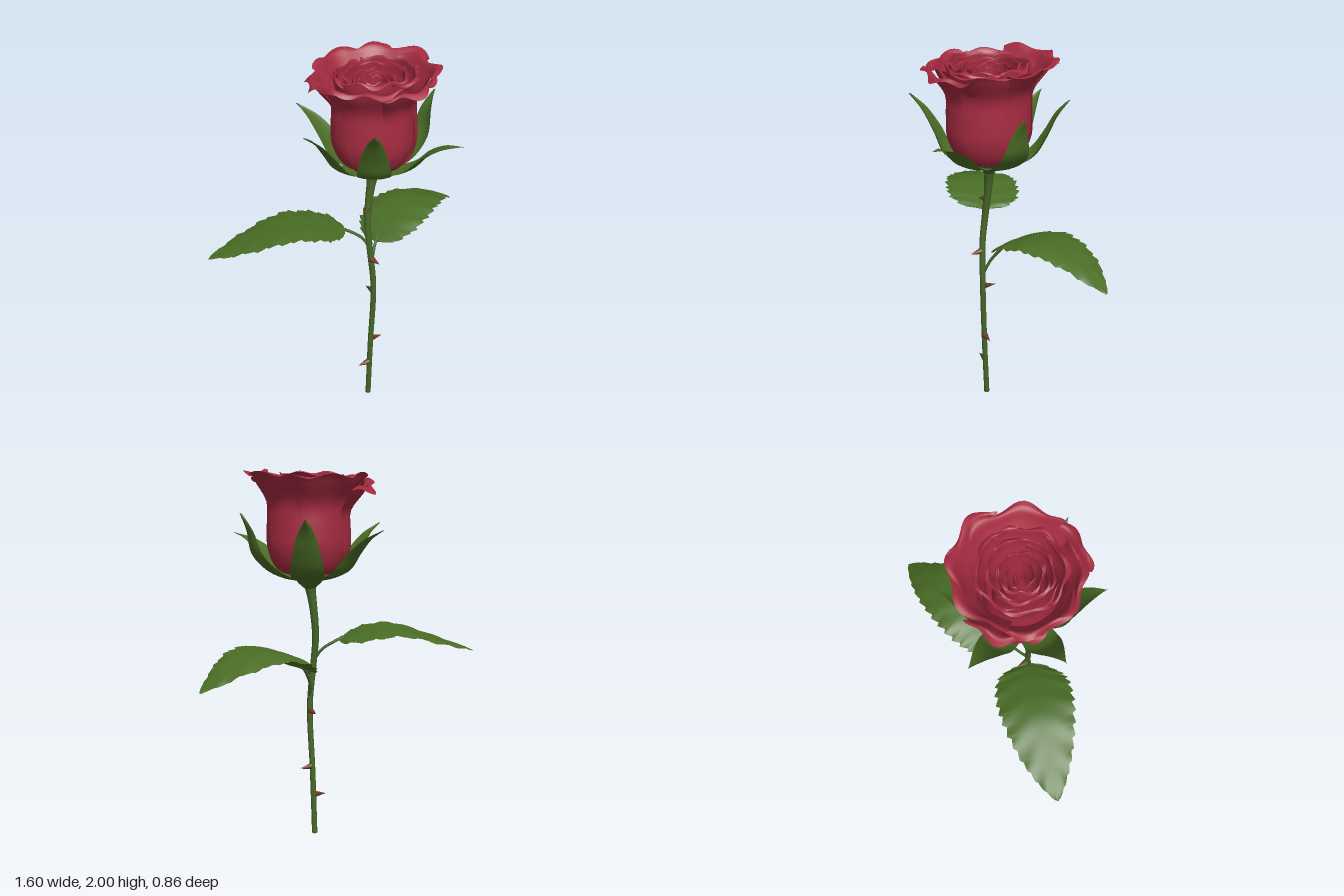
import * as THREE from 'three';

const V = (x, y, z) => new THREE.Vector3(x, y, z);
const mat = (name, color) => {
  const m = new THREE.MeshStandardMaterial({ color, side: THREE.DoubleSide });
  m.name = name;
  return m;
};
const AXIS = { x: 0.055, z: -0.01 }; // vertical axis of the bloom

// Smooth grid surface: fn(u, v) -> Vector3, u and v in 0..1
function surface(fn, nu, nv) {
  const pos = [], idx = [];
  for (let j = 0; j <= nv; j++)
    for (let i = 0; i <= nu; i++) {
      pos.push(...fn(i / nu, j / nv).toArray());
      if (i < nu && j < nv) {
        const a = j * (nu + 1) + i, b = a + nu + 1;
        idx.push(a, b, a + 1, b, b + 1, a + 1);
      }
    }
  const g = new THREE.BufferGeometry();
  g.setAttribute('position', new THREE.Float32BufferAttribute(pos, 3));
  g.setIndex(idx);
  g.computeVertexNormals();
  return g;
}

const polar = (a, r, y) => V(AXIS.x + Math.cos(a) * r, y, AXIS.z + Math.sin(a) * r);
const rad = THREE.MathUtils.degToRad;

// One petal: a cupped profile swept over an arc, flared and ruffled at the rim
function petal(deg, halfDeg, rBody, rTop, yTop, droop, seed) {
  const h = yTop - 1.44;
  const profile = new THREE.CatmullRomCurve3([
    V(0.03, 1.44, 0), V(rBody * 0.72, 1.465, 0), V(rBody * 0.98, 1.44 + h * 0.26, 0),
    V(rBody, 1.44 + h * 0.5, 0), V(rBody * 0.88 + rTop * 0.08, 1.44 + h * 0.72, 0),
    V(rBody * 0.52 + rTop * 0.48, yTop - h * 0.1, 0), V(rTop * 0.92, yTop, 0),
    V(rTop, yTop - droop, 0)]);
  return surface((s, v) => {
    const u = s * 2 - 1;
    const p = profile.getPoint(v * (1 - 0.15 * Math.pow(Math.abs(u), 3.2)));
    const rim = Math.pow(v, 5);
    const r = p.x * (1 + 0.045 * u) + rim * rTop * 0.05 * Math.sin(7 * u + seed);
    const y = p.y + rim * 0.013 * Math.sin(8 * u + seed * 2.3);
    const a = rad(deg) + u * rad(halfDeg) + 0.25 * (v - 0.7) * u + 0.2 * (v - 0.6);
    return polar(a, r, y);
  }, 26, 26);
}

// One sepal: a pointed blade that hugs the bloom and then turns outwards
function sepal(deg, rTip, yTip, rMid, yMid) {
  const spine = new THREE.CatmullRomCurve3([
    V(0.04, 1.41, 0), V(0.14, 1.432, 0), V(0.228, 1.478, 0), V(rMid, yMid, 0),
    V((rMid + rTip) / 2 - 0.005, (yMid + yTip) / 2 + 0.015, 0), V(rTip, yTip, 0)]);
  return surface((s, t) => {
    const u = s * 2 - 1, p = spine.getPoint(t);
    const w = 0.1 * Math.pow(Math.sin(Math.PI * (0.12 + 0.88 * Math.pow(t, 0.9))), 0.9) * (1 - 0.25 * t);
    const half = Math.min(w / p.x, 0.75);
    return polar(rad(deg) + u * half, p.x + 0.012 * (1 - u * u), p.y);
  }, 10, 24);
}

// Serrated leaf blade about a curved midrib, its front edge tilted up
function leaf(points, side, tilt, droop) {
  const spine = new THREE.CatmullRomCurve3(points);
  return surface((s, t) => {
    const u = s * 2 - 1, a = Math.abs(u), p = spine.getPoint(t), d = spine.getTangent(t);
    const across = V(-d.z, 0, d.x).normalize().multiplyScalar(side);
    const swell = Math.pow(Math.max(0, Math.sin(Math.PI * Math.pow(t, 0.72))), 0.75);
    const tooth = 0.13 * (((t * 15) % 1) - 0.5) * Math.pow(a, 6);
    p.addScaledVector(across, u * 0.2 * swell * (1 + tooth));
    p.y += swell * (0.015 * a + tilt * u - droop * u * u) + 0.004 * a * Math.sin(t * 40 - a * 5);
    return p;
  }, 12, 75);
}

export function createModel() {
  const model = new THREE.Group();
  model.name = 'rose';
  const petalRed = mat('petal red', 0xa52b40);
  const leafGreen = mat('leaf green', 0x4a6d25);
  const stemGreen = mat('stem green', 0x466727);
  const thornBrown = mat('thorn brown', 0x6e3c1e);
  const add = (name, geo, m, parent = model) => {
    const mesh = new THREE.Mesh(geo, m);
    mesh.name = name;
    parent.add(mesh);
    return mesh;
  };
  const group = (name) => {
    const g = new THREE.Group();
    g.name = name;
    model.add(g);
    return g;
  };

  // Stem, gently bent and thicker towards the bloom
  const stem = new THREE.CatmullRomCurve3([
    V(0.023, 0, -0.012), V(0.027, 0.35, 0.005), V(0.036, 0.72, 0.02), V(0.018, 0.95, 0.012),
    V(0.014, 1.1, -0.005), V(0.03, 1.25, -0.014), V(0.053, 1.4, -0.01)]);
  add('stem', surface((s, t) => {
    const p = stem.getPoint(t), a = -s * Math.PI * 2, r = 0.015 + 0.008 * t * t + 0.012 * Math.pow(t, 16);
    return V(p.x + r * Math.cos(a), p.y, p.z + r * Math.sin(a));
  }, 14, 48), stemGreen);
  const cut = add('stemCut', new THREE.CircleGeometry(0.015, 14), stemGreen);
  cut.rotation.x = Math.PI / 2;
  cut.position.set(0.023, 0.001, -0.012);

  // Hip beneath the bloom
  const hip = add('hip', new THREE.LatheGeometry([
    [0.02, 1.36], [0.036, 1.376], [0.058, 1.395], [0.074, 1.415], [0.1, 1.435],
  ].map(([r, y]) => new THREE.Vector2(r, y)), 24), stemGreen);
  hip.position.set(AXIS.x - 0.003, 0, AXIS.z);

  // Sepals: angle, tip radius, tip height, middle radius, middle height
  const sepals = group('sepals');
  [[0, 0.385, 1.78, 0.308, 1.565], [60, 0.49, 1.64, 0.3, 1.555], [124, 0.41, 1.78, 0.28, 1.59],
    [180, 0.42, 1.7, 0.285, 1.56], [243, 0.46, 1.7, 0.29, 1.56], [299, 0.4, 1.77, 0.29, 1.58],
  ].forEach((s) => add('sepal', sepal(...s), leafGreen, sepals));

  // Outer petals: angle, half span, body radius, rim radius, rim height, droop
  const petals = group('petals');
  [[18, 46, 0.22, 0.33, 1.975, 0.0], [76, 36, 0.216, 0.34, 1.945, 0.02], [126, 42, 0.219, 0.315, 1.95, 0.015],
    [182, 42, 0.213, 0.325, 1.945, 0.025], [218, 34, 0.222, 0.35, 1.915, 0.03],
    [266, 46, 0.212, 0.34, 1.975, 0.0], [318, 44, 0.216, 0.345, 1.985, 0.0],
  ].forEach((p, i) => add('outerPetal', petal(...p, i * 1.7), petalRed, petals));

  // Inner whorls: count, start angle, half span, body radius, rim radius, rim height
  [[5, 45, 50, 0.18, 0.238, 1.96], [4, 10, 60, 0.138, 0.175, 1.945],
    [4, 60, 60, 0.095, 0.12, 1.925], [3, 20, 75, 0.06, 0.076, 1.91],
  ].forEach(([n, start, half, rBody, rTop, y], ring) => {
    for (let i = 0; i < n; i++) {
      const seed = ring * 2.1 + i * 1.9;
      add('innerPetal', petal(start + i * 360 / n, half, rBody, rTop * (1 + 0.08 * Math.sin(seed * 3)),
        y + 0.012 * Math.sin(seed), 0.01, seed), petalRed, petals);
    }
  });

  // Rolled heart of the bloom
  add('heart', surface((s, v) => polar(s * Math.PI * 4.5,
    0.042 * s * (0.8 + 0.3 * v), 1.6 + 0.29 * v + 0.008 * v * Math.sin(s * 19)), 60, 6), petalRed, petals);
  const floor = add('heartFloor', new THREE.CircleGeometry(0.06, 20), petalRed, petals);
  floor.rotation.x = -Math.PI / 2;
  floor.position.set(AXIS.x, 1.6, AXIS.z);

  // Leaves, each on a thin curved stalk
  const leaves = group('leaves');
  const leafData = [
    { side: 1, tilt: 0.015, droop: 0.04,
      stalk: [V(0.036, 0.77, 0.015), V(0.055, 0.85, -0.02), V(0.11, 0.94, -0.065), V(0.135, 0.964, -0.073)],
      rib: [V(0.11, 0.94, -0.065), V(0.22, 1.035, -0.105), V(0.4, 1.09, -0.172), V(0.6, 1.045, -0.245), V(0.8, 0.93, -0.3)] },
    { side: -1, tilt: 0.008, droop: 0.03,
      stalk: [V(0.016, 0.97, 0.01), V(-0.02, 1.03, -0.01), V(-0.1, 1.085, -0.05), V(-0.125, 1.096, -0.062)],
      rib: [V(-0.1, 1.085, -0.05), V(-0.2, 1.125, -0.1), V(-0.38, 1.15, -0.165), V(-0.6, 1.085, -0.238), V(-0.8, 1.01, -0.3)] },
  ];
  for (const { side, tilt, droop, stalk, rib } of leafData) {
    const label = side > 0 ? 'left' : 'right';
    add(label + 'Leaf', leaf(rib, side, tilt, droop), leafGreen, leaves);
    add(label + 'LeafStalk', new THREE.TubeGeometry(new THREE.CatmullRomCurve3(stalk), 16, 0.008, 8), stemGreen, leaves);
  }

  // Thorns: height, compass angle, length
  const thorns = group('thorns');
  [[0.215, 180, 0.07], [0.372, 0, 0.068], [0.69, 270, 0.07], [0.895, 85, 0.068], [1.2, 140, 0.045],
  ].forEach(([y, deg, len]) => {
    let t = 0;
    while (t < 1 && stem.getPoint(t).y < y) t += 0.005;
    const base = stem.getPoint(t);
    const dir = V(Math.cos(rad(deg)), -0.08, Math.sin(rad(deg))).normalize();
    const geo = new THREE.ConeGeometry(0.018, len, 8, 3);
    geo.translate(0, len / 2, 0);
    const thorn = add('thorn', geo, thornBrown, thorns);
    thorn.quaternion.setFromUnitVectors(V(0, 1, 0), dir);
    thorn.position.copy(base).addScaledVector(dir, 0.008);
  });

  return model;
}
